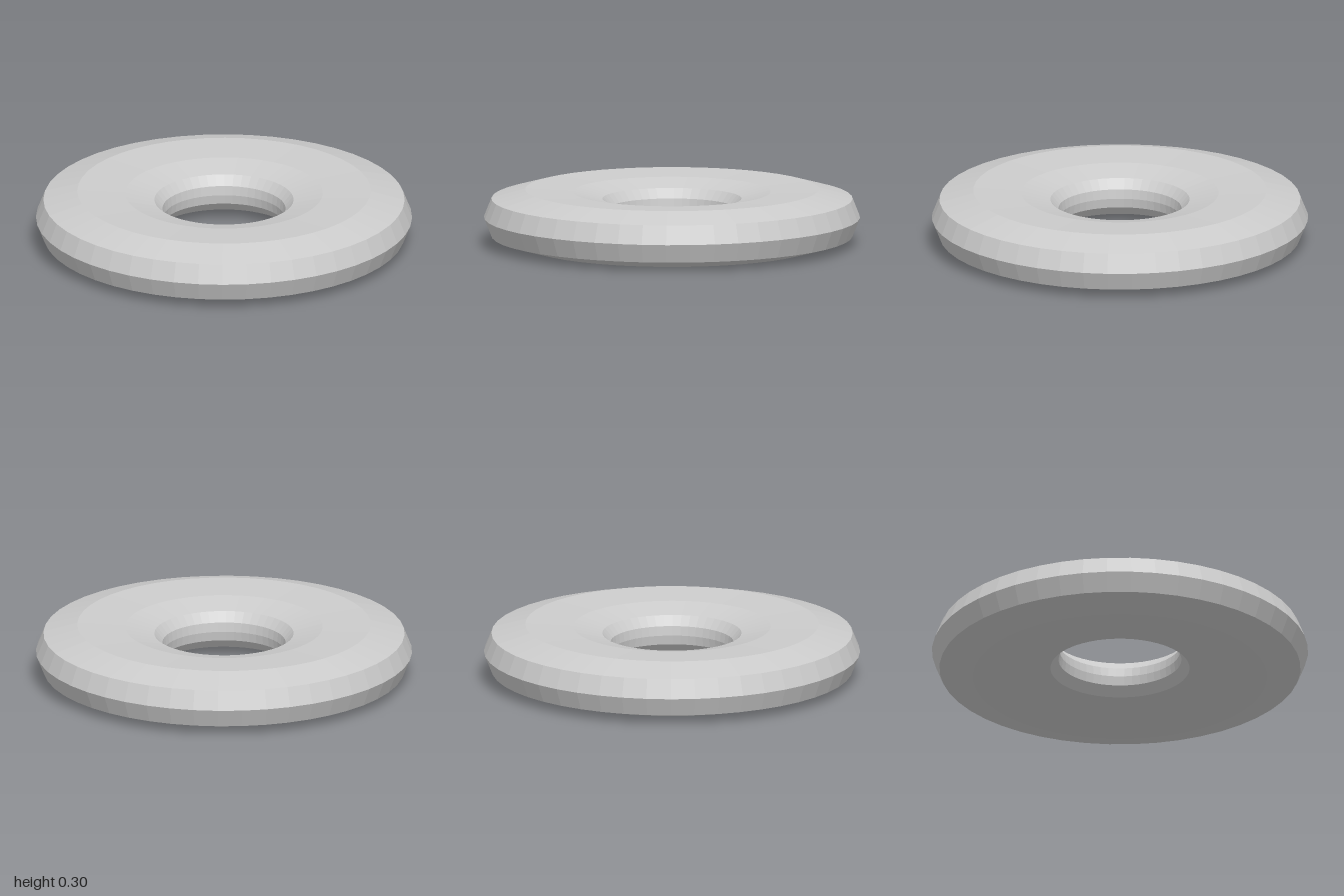
import * as THREE from 'three';

export function createModel() {
  const group = new THREE.Group();
  group.name = 'ringDisc';

  const midY = 0.15;
  // Upper half of the cross-section, from outer rim to bore: [radius, height above middle]
  const upper = [
    [1.0, 0], [0.96, 0.1], [0.78, 0.15], [0.525, 0.137],
    [0.37, 0.1], [0.327, 0.05], [0.32, 0],
  ];
  // Mirror it below the middle plane to close the loop
  const lower = upper.slice(0, -1).reverse().map(([r, h]) => [r, -h]);
  const profile = [...upper, ...lower].map(([r, h]) => new THREE.Vector2(r, midY + h));

  // Lathe faces point outward when the profile runs upward along the outer side
  const geometry = new THREE.LatheGeometry(profile, 48);
  const material = new THREE.MeshStandardMaterial({ color: 0xcccccc, flatShading: true });
  const ring = new THREE.Mesh(geometry, material);
  ring.name = 'ring';
  group.add(ring);
  return group;
}
